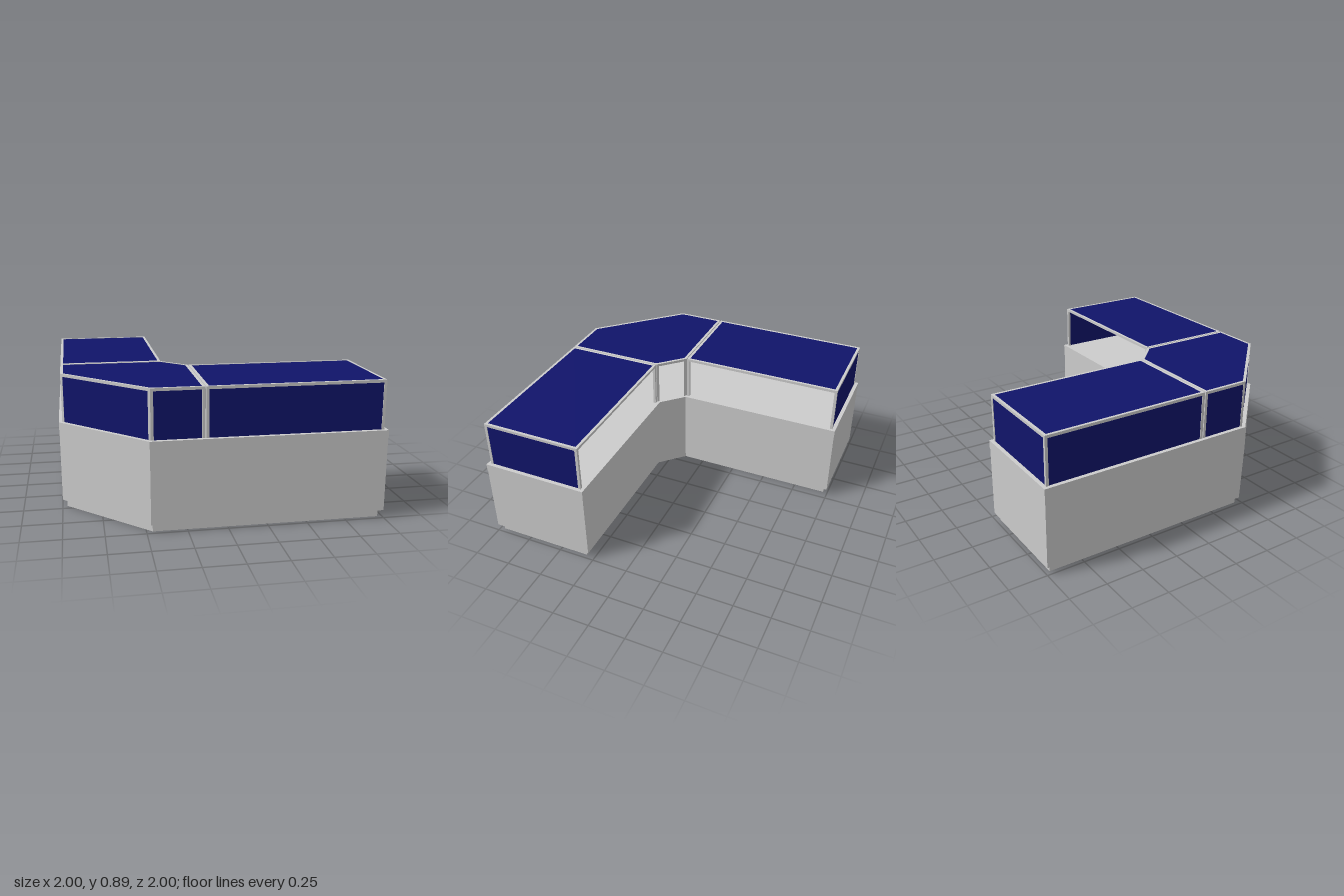
import * as THREE from 'three';

const grey = new THREE.MeshStandardMaterial({ color: 0xcccccc, flatShading: true });
const blue = new THREE.MeshStandardMaterial({ color: 0x10146a, flatShading: true });

// Plan outlines are lists of [x, z], running +x first, then +z.
const plan = [[-1, -1], [-0.285, -1], [-0.285, 0.135], [-0.14, 0.28],
  [1, 0.28], [1, 1], [-0.475, 1], [-1, 0.47]];

const BAR = 0.018, SILL = 0.575, TOP = 0.888;

// Each display case: outline and the edges that carry glass (the staff side is open).
const cases = [
  { name: 'backCase', glass: [0, 3],
    outline: [[-0.978, -0.978], [-0.305, -0.978], [-0.305, 0.132], [-0.978, 0.132]] },
  { name: 'cornerCase', glass: [3, 4, 5],
    outline: [[-0.978, 0.138], [-0.305, 0.138], [-0.142, 0.301], [-0.142, 0.978], [-0.466, 0.978], [-0.978, 0.461]] },
  { name: 'sideCase', glass: [1, 2],
    outline: [[-0.136, 0.302], [0.978, 0.302], [0.978, 0.978], [-0.136, 0.978]] },
];

// Unit direction from a to b
function direction(a, b) {
  const l = Math.hypot(b[0] - a[0], b[1] - a[1]);
  return [(b[0] - a[0]) / l, (b[1] - a[1]) / l];
}

// Move every edge of an outline inward by d
function inset(points, d) {
  const n = points.length;
  return points.map((p, i) => {
    const u = direction(points[(i + n - 1) % n], p);
    const v = direction(p, points[(i + 1) % n]);
    const k = d / (1 + u[0] * v[0] + u[1] * v[1]);
    return [p[0] - (u[1] + v[1]) * k, p[1] + (u[0] + v[0]) * k];
  });
}

// Upright prism from a plan outline, with an optional hole
function prism(name, points, y0, y1, material, hole) {
  const toVectors = (list) => list.map(([x, z]) => new THREE.Vector2(x, -z));
  const shape = new THREE.Shape(toVectors(points));
  if (hole) shape.holes.push(new THREE.Path(toVectors(hole)));
  const geometry = new THREE.ExtrudeGeometry(shape, { depth: y1 - y0, bevelEnabled: false });
  geometry.rotateX(-Math.PI / 2).translate(0, y0, 0);
  const mesh = new THREE.Mesh(geometry, material);
  mesh.name = name;
  return mesh;
}

function displayCase({ name, outline, glass }) {
  const group = new THREE.Group();
  group.name = name;
  const n = outline.length;
  const inner = inset(outline, BAR);
  const outerGlass = inset(outline, 0.004);
  const innerGlass = inset(outline, 0.01);

  // Top frame and top pane
  group.add(prism('topFrame', outline, TOP - BAR, TOP, grey, inner));
  group.add(prism('topPane', innerGlass, TOP - 0.011, TOP - 0.004, blue));

  outline.forEach((p, i) => {
    // Corner post, mitred to the two edges it joins
    const u = direction(p, outline[(i + n - 1) % n]);
    const v = direction(p, outline[(i + 1) % n]);
    const along = (d) => [p[0] + d[0] * BAR, p[1] + d[1] * BAR];
    group.add(prism('post', [p, along(v), inner[i], along(u)], SILL, TOP - BAR, grey));

    // Glass pane between this corner and the next
    if (glass.includes(i)) {
      const j = (i + 1) % n;
      group.add(prism('sidePane', [outerGlass[i], outerGlass[j], innerGlass[j], innerGlass[i]],
        SILL, TOP - 0.012, blue));
    }
  });
  return group;
}

export function createModel() {
  const model = new THREE.Group();
  model.name = 'cornerDisplayCounter';

  // Recessed plinth, cabinet body and worktop
  model.add(prism('plinth', inset(plan, 0.03), 0, 0.05, grey));
  model.add(prism('cabinet', inset(plan, 0.002), 0.05, 0.525, grey));
  model.add(prism('worktop', plan, 0.525, SILL, grey));

  cases.forEach((c) => model.add(displayCase(c)));
  return model;
}
